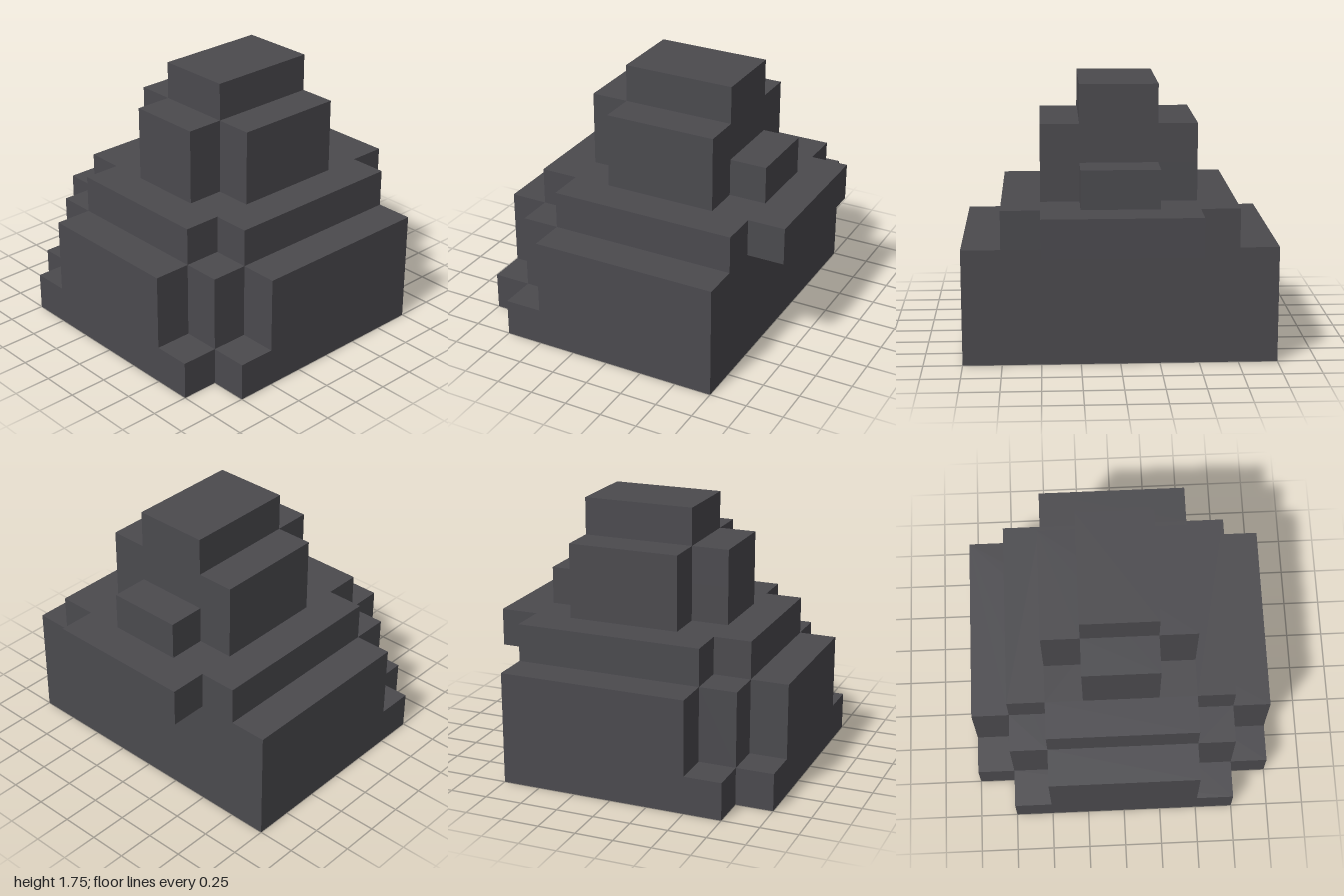
import * as THREE from 'three';

// Stacked stepped layers; each outline is the +x half, listed from back to front as [x, z].
const LAYERS = [
  { name: 'footing', y: 0, h: 0.25, half: [[1, -0.75], [1, 0.75], [0.75, 0.75], [0.75, 1]] },
  { name: 'lowerWalls', y: 0.25, h: 0.5, half: [[1, -0.75], [1, 0.5], [0.75, 0.5], [0.75, 0.75], [0.5, 0.75], [0.5, 1]] },
  { name: 'shoulderWithRearLedge', y: 0.75, h: 0.25, half: [[0.5, -1], [0.5, -0.75], [0.75, -0.75], [0.75, 0.5], [0.5, 0.5], [0.5, 0.75]] },
  { name: 'towerBaseWithRearStep', y: 1, h: 0.25, half: [[0.25, -0.75], [0.25, -0.5], [0.5, -0.5], [0.5, 0.25], [0.25, 0.25], [0.25, 0.5]] },
  { name: 'towerUpper', y: 1.25, h: 0.25, half: [[0.5, -0.5], [0.5, 0.25], [0.25, 0.25], [0.25, 0.5]] },
  { name: 'peak', y: 1.5, h: 0.25, half: [[0.25, -0.5], [0.25, 0.25]] },
];

// Mirror the half outline across x = 0 and extrude it upwards
function layerGeometry(half, height) {
  const mirrored = half.map(([x, z]) => [-x, z]).reverse();
  const outline = [...half, ...mirrored].map(([x, z]) => new THREE.Vector2(x, -z));
  const geometry = new THREE.ExtrudeGeometry(new THREE.Shape(outline), { depth: height, bevelEnabled: false });
  return geometry.rotateX(-Math.PI / 2);
}

export function createModel() {
  const model = new THREE.Group();
  model.name = 'steppedRock';
  const stone = new THREE.MeshStandardMaterial({ color: 0x4b4a4e });
  stone.name = 'dark grey stone';

  for (const { name, y, h, half } of LAYERS) {
    const mesh = new THREE.Mesh(layerGeometry(half, h), stone);
    mesh.name = name;
    mesh.position.y = y;
    model.add(mesh);
  }
  return model;
}
